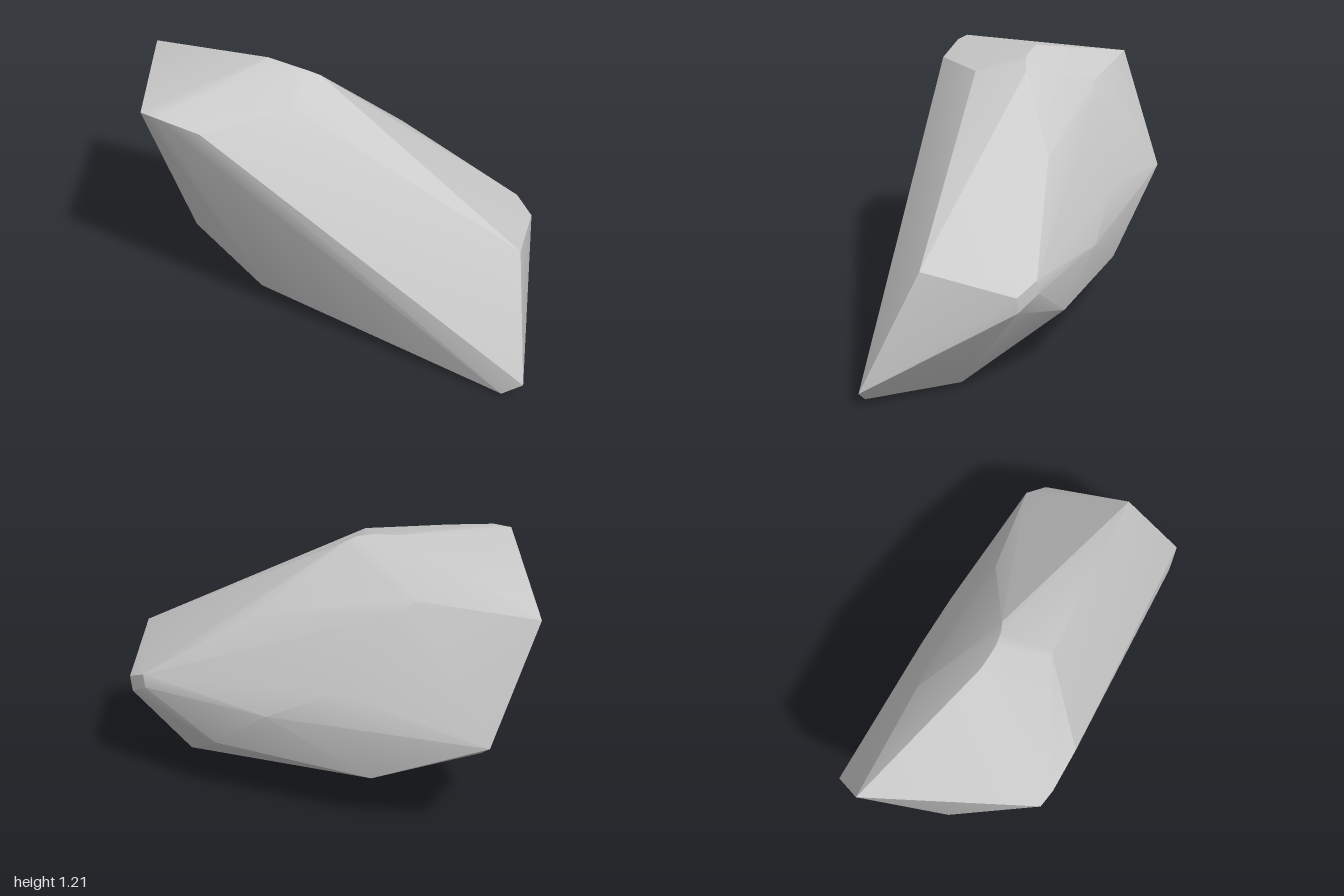
import * as THREE from 'three';
import { ConvexGeometry } from 'three/addons/geometries/ConvexGeometry.js';
import { toCreasedNormals } from 'three/addons/utils/BufferGeometryUtils.js';

// Corners of the boulder, grouped by the ridge they belong to
const ridges = {
  leftTip: [[-1, 1.02, -0.22]],
  frontTop: [[-0.68, 1.11, 0.45], [-0.6, 1.11, 0.46], [-0.4, 1.08, 0.45], [-0.11, 1.13, 0.17]],
  crest: [[-0.33, 1.21, -0.03], [-0.22, 1.2, -0.03], [-0.15, 1.185, -0.045], [-0.1, 1.16, -0.07]],
  rightEnd: [[0.87, 0.6, 0.01], [1, 0.08, 0.23], [0.91, 0.01, 0.245]],
  rightBack: [[0.78, 0.51, -0.37], [0.77, 0.44, -0.37], [0.69, 0.56, -0.42], [0.68, 0.5, -0.425]],
  backTop: [[-0.48, 1.03, -0.25], [-0.4, 0.97, -0.28], [0.19, 0.89, -0.28]],
  backBelly: [[-0.2, 0.64, -0.43], [0.1, 0.49, -0.465], [0.36, 0.29, -0.42], [-0.87, 0.52, -0.44]],
  underside: [[-0.35, 0.25, -0.4], [0.64, 0.02, -0.07], [0.55, 0, 0.17],
    [-0.03, 0.04, 0.1], [-0.3, 0.11, 0.14], [-0.71, 0.23, 0]],
};

export function createModel() {
  const group = new THREE.Group();
  group.name = 'rock';

  // Faceted stone: hull of the ridges, with shallow bevels shaded softly
  const points = Object.values(ridges).flat().map((p) => new THREE.Vector3(...p));
  const geometry = toCreasedNormals(new ConvexGeometry(points), 0.4);
  const boulder = new THREE.Mesh(geometry, new THREE.MeshStandardMaterial({ color: 0xcccccc }));
  boulder.name = 'boulder';
  group.add(boulder);
  return group;
}
